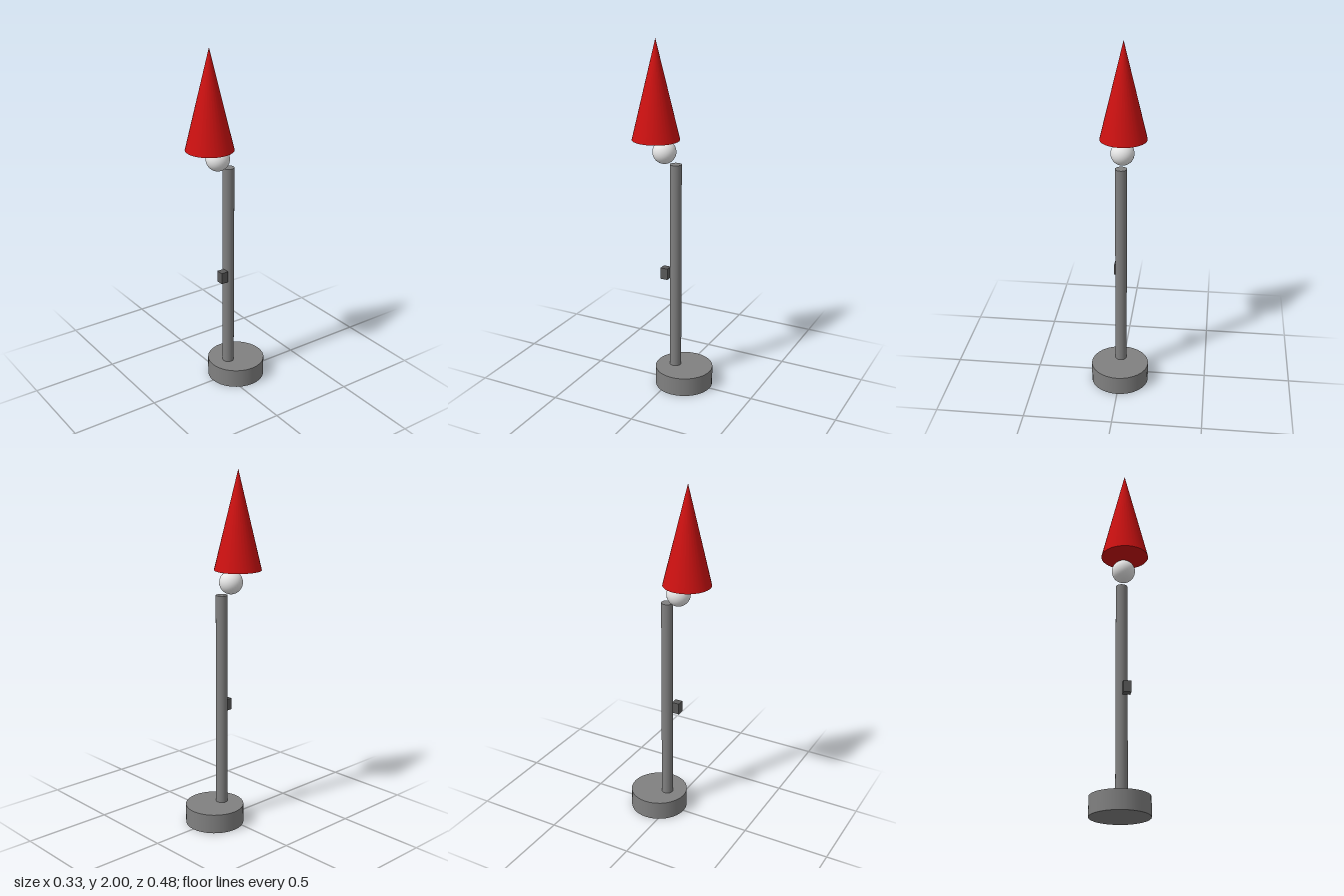
import * as THREE from 'three';

export function createModel() {
  const model = new THREE.Group();
  const paint = (name, color) => {
    const m = new THREE.MeshStandardMaterial({ color });
    m.name = name;
    return m;
  };
  const grey = paint('grey', 0x808080);
  const darkGrey = paint('darkGrey', 0x5a5a5a);
  const white = paint('white', 0xe6e6e6);
  const red = paint('red', 0xcc1111);

  const add = (name, geometry, material, x, y, z) => {
    const mesh = new THREE.Mesh(geometry, material);
    mesh.name = name;
    mesh.position.set(x, y, z);
    model.add(mesh);
  };

  // Round foot and upright post
  add('base', new THREE.CylinderGeometry(0.166, 0.166, 0.11, 32), grey, 0, 0.055, -0.074);
  add('pole', new THREE.CylinderGeometry(0.033, 0.033, 1.215, 32), grey, 0, 0.7175, -0.018);

  // Small switch box on the front of the post
  add('switchBox', new THREE.BoxGeometry(0.044, 0.066, 0.044), darkGrey, 0.021, 0.684, 0.035);

  // Bulb under a conical shade, both set forward of the post
  add('bulb', new THREE.SphereGeometry(0.066, 32, 24), white, 0, 1.387, 0.052);
  add('shade', new THREE.ConeGeometry(0.133, 0.55, 32), red, 0, 1.725, 0.104);

  return model;
}
